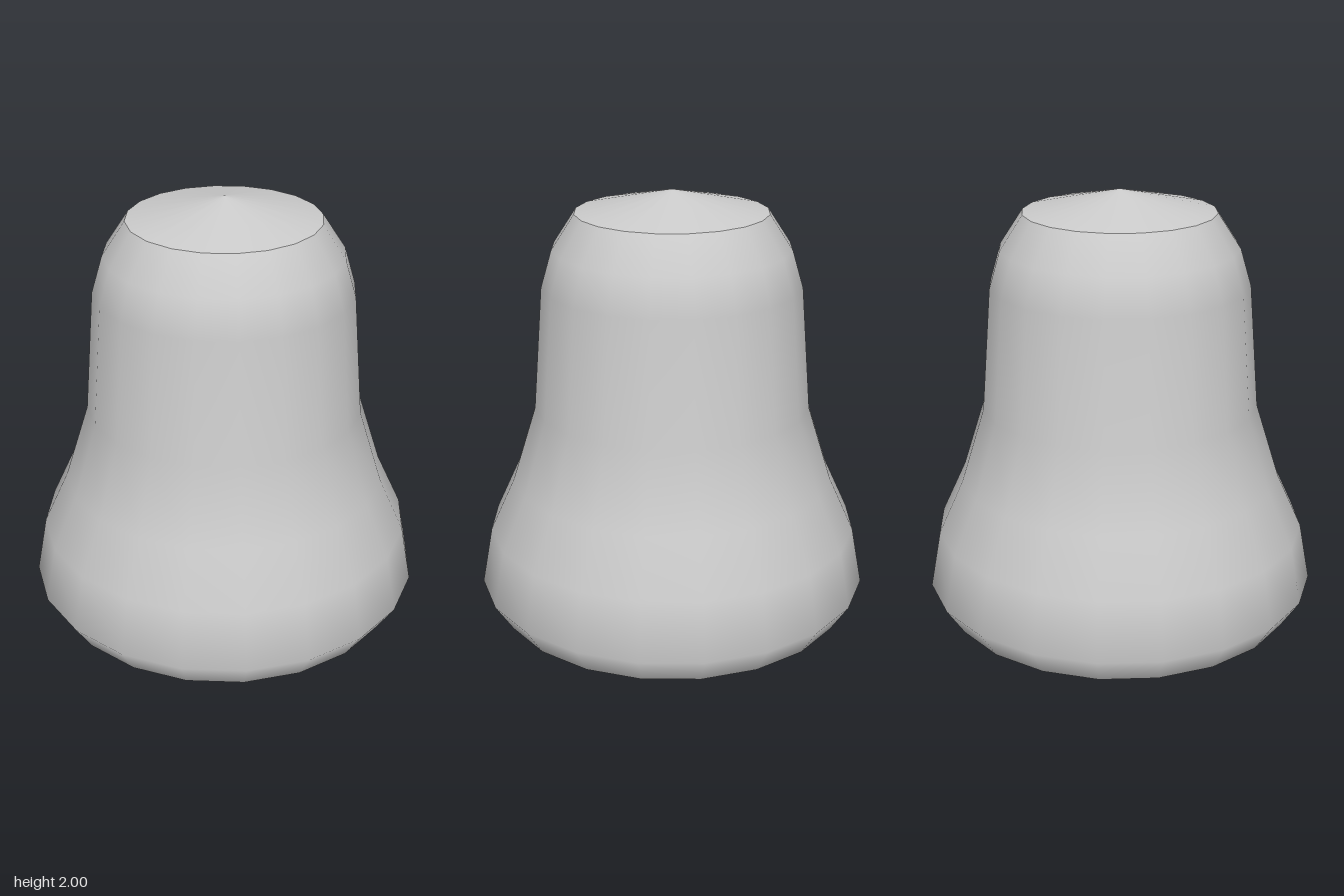
import * as THREE from 'three';

const SIDES = 20;

export function createModel() {
  const group = new THREE.Group();
  const material = new THREE.MeshStandardMaterial({ color: 0xcccccc });

  const add = (name, geometry) => {
    const mesh = new THREE.Mesh(geometry, material);
    mesh.name = name;
    group.add(mesh);
  };
  const lathe = (profile) =>
    new THREE.LatheGeometry(profile.map(([r, y]) => new THREE.Vector2(r, y)), SIDES);

  // Bell-shaped wall: bevelled foot, flared skirt, tapered neck, rounded shoulder
  add('body', lathe([
    [0.83, 0], [0.915, 0.13], [0.865, 0.4], [0.75, 0.65],
    [0.64, 1], [0.595, 1.57], [0.545, 1.74], [0.44, 1.9],
  ]));

  // Shallow cone closing the top, with a crisp rim
  add('topCap', lathe([[0.44, 1.9], [0, 2]]));

  // Flat underside
  add('base', new THREE.CircleGeometry(0.83, SIDES).rotateX(Math.PI / 2));

  return group;
}
